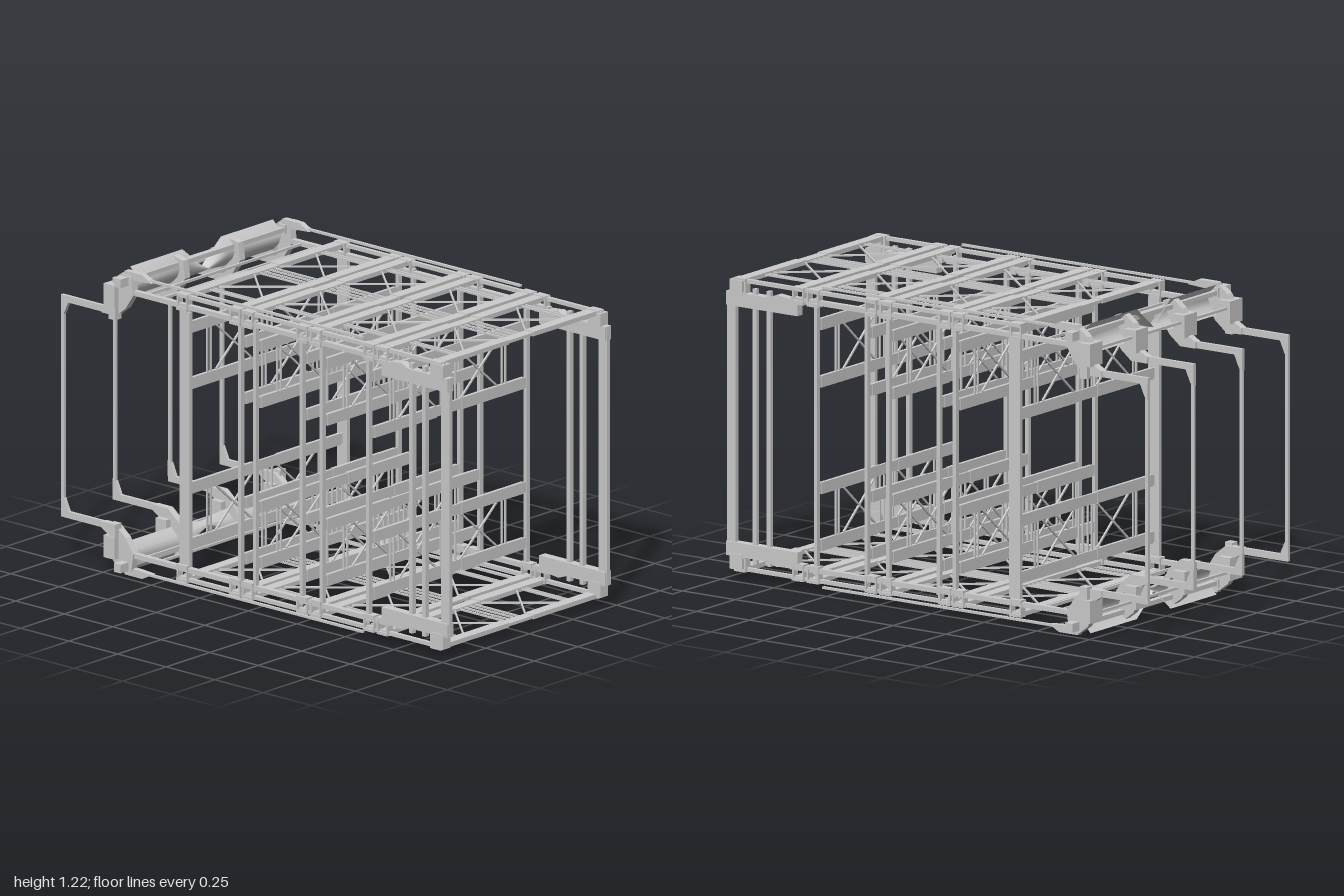
import * as THREE from 'three';

const H = 1.22; // overall height; upper and lower halves mirror about H / 2

export function createModel() {
  const root = new THREE.Group();
  const mat = new THREE.MeshStandardMaterial({ color: 0xcccccc, flatShading: true });
  const shellMat = new THREE.MeshStandardMaterial({ color: 0xcccccc, side: THREE.DoubleSide });

  const add = (parent, name, geo, m = mat) => {
    const mesh = new THREE.Mesh(geo, m);
    mesh.name = name;
    parent.add(mesh);
    return mesh;
  };
  const box = (p, name, x0, x1, y0, y1, z0, z1) =>
    add(p, name, new THREE.BoxGeometry(Math.abs(x1 - x0), Math.abs(y1 - y0), Math.abs(z1 - z0)))
      .position.set((x0 + x1) / 2, (y0 + y1) / 2, (z0 + z1) / 2);
  // square bar between two points
  const rod = (p, name, a, b, t) => {
    const A = new THREE.Vector3(...a), B = new THREE.Vector3(...b);
    const mesh = add(p, name, new THREE.BoxGeometry(t, t, A.distanceTo(B)));
    mesh.position.copy(A).add(B).multiplyScalar(0.5);
    mesh.lookAt(B);
  };
  // flat plate from a [z, y] outline, centred on x
  const plate = (p, name, pts, x, t) => {
    const shape = new THREE.Shape(pts.map(([z, y]) => new THREE.Vector2(-z, y)));
    const geo = new THREE.ExtrudeGeometry(shape, { depth: t, bevelEnabled: false });
    geo.translate(0, 0, -t / 2).rotateY(Math.PI / 2).translate(x, 0, 0);
    add(p, name, geo);
  };
  // braced panel: two rails across x, with crosses and rods between them (u0 to u1)
  const panel = (p, name, u0, u1, at) => {
    const g = new THREE.Group();
    g.name = name;
    p.add(g);
    const w = 0.023, lo = u0 + w, hi = u1 - w;
    for (const u of [u0, u1]) {
      const bar = (x0, x1, hw, t) => {
        const [a, b] = [at(x0, u - hw, -t), at(x1, u + hw, t)];
        box(g, 'rail', a[0], b[0], a[1], b[1], a[2], b[2]);
      };
      bar(-0.445, 0.445, w - 0.002, 0.006);
      for (const s of [-1, 1]) bar(s * 0.07, s * 0.43, w, 0.009);
    }
    for (const s of [-1, 1]) {
      rod(g, 'brace', at(s * 0.28, lo, 0), at(s * 0.075, hi, 0), 0.007);
      rod(g, 'brace', at(s * 0.28, hi, 0), at(s * 0.075, lo, 0), 0.007);
      for (const x of [0.015, 0.042, 0.31, 0.33])
        rod(g, 'stringer', at(s * x, lo, 0), at(s * x, hi, 0), 0.007);
    }
  };

  const bays = [[0.66, 0.935], [0.315, 0.59], [-0.035, 0.245], [-0.373, -0.1]];
  const hoopX = [-0.455, -0.158, 0.158, 0.455];

  for (const top of [true, false]) {
    const half = new THREE.Group();
    half.name = top ? 'upperFrame' : 'lowerFrame';
    root.add(half);
    const Y = y => (top ? y : H - y);
    const hbox = (n, x0, x1, y0, y1, z0, z1) => box(half, n, x0, x1, Y(y0), Y(y1), z0, z1);
    const hplate = (n, pts, x, t) => plate(half, n, pts.map(([z, y]) => [z, Y(y)]), x, t);

    // horizontal roof and floor panels
    for (const [a, b] of bays)
      panel(half, 'deckPanel', a, b, (x, u, t) => [x, Y(1.178 + t), u]);

    for (const s of [-1, 1]) {
      const x = s * 0.452;
      // long side rails
      hbox('outerRail', x - 0.008, x + 0.008, 1.17, 1.185, -0.4, 0.97);
      hbox('innerRail', x - 0.011, x + 0.011, 1.128, 1.147, -0.65, 0.7);
      hbox('topRail', x - 0.006, x + 0.006, 1.196, 1.205, -0.58, 0.55);
      // clips joining the rails at each deck bar
      for (const z of bays.flat()) {
        hbox('railClip', x - 0.017, x + 0.017, 1.12, 1.135, z - 0.027, z + 0.027);
        hbox('railClip', x - 0.017, x + 0.017, 1.176, 1.188, z - 0.027, z + 0.027);
        for (const e of [-0.024, 0.024])
          hbox('railClip', x - 0.015, x + 0.015, 1.12, 1.188, z + e - 0.004, z + e + 0.004);
      }
      // stepped plates on the front corners
      hplate('cornerPlate', [[1, 1.075], [0.66, 1.075], [0.66, 1.135], [0.76, 1.145],
        [0.8, 1.13], [1, 1.13]], x, 0.035);
      hbox('cornerBlock', x - 0.022, x + 0.022, 1.12, 1.18, 0.92, 0.98);
      // tongue leading onto the rear bracket
      hplate('railTongue', [[-0.53, 1.195], [-0.58, 1.22], [-0.67, 1.22], [-0.68, 1.19],
        [-0.6, 1.19]], x, 0.025);
      hbox('sideBracket', s * 0.455, s * 0.49, 1.02, 1.16, -0.73, -0.695);
      hbox('barEnd', s * 0.43, s * 0.515, 1.165, 1.2, -0.68, -0.645);

      // curved rear shield, notched toward the middle
      const prof = [[0, -0.69], [0.25, -0.66], [0.5, -0.648], [0.75, -0.66], [1, -0.69]];
      const pos = [], idx = [];
      const cols = [[0.41, 1.1, 1.22], [0.11, 1.1, 1.22], [0, 1.115, 1.13]];
      cols.forEach(([cx, lo, hi], i) => prof.forEach(([t, z], j) => {
        pos.push(s * cx, Y(lo + t * (hi - lo)), z);
        if (i && j) {
          const a = i * 5 + j;
          idx.push(a, a - 1, a - 6, a, a - 6, a - 5);
        }
      }));
      const geo = new THREE.BufferGeometry();
      geo.setAttribute('position', new THREE.Float32BufferAttribute(pos, 3));
      geo.setIndex(idx);
      geo.computeVertexNormals();
      add(half, 'rearShield', geo, shellMat);
    }

    // cross rods at the rear
    for (const [z, y] of [[-0.5, 1.137], [-0.575, 1.137], [-0.73, 1.13]])
      rod(half, 'crossRod', [-0.46, Y(y), z], [0.46, Y(y), z], 0.01);
    hbox('rearCrossBar', -0.48, 0.48, 1.172, 1.19, -0.677, -0.65);

    // hook brackets and the arms of the rear hoops
    for (const x of hoopX) {
      hplate('hookBracket', [[-0.62, 1.13], [-0.63, 1.2], [-0.68, 1.21], [-0.72, 1.18],
        [-0.745, 1.13], [-0.75, 1.075], [-0.785, 1.055], [-0.785, 1.03], [-0.71, 1.03],
        [-0.66, 1.07]], x, 0.03);
      hbox('bracketBlock', x - 0.04, x + 0.04, 1.07, 1.16, -0.75, -0.695);
      hbox('hoopArm', x - 0.007, x + 0.007, 1.03, 1.056, -1, -0.76);
      hplate('hoopGusset', [[-0.96, 1.035], [-1, 1.035], [-1, 0.97], [-0.985, 0.98]], x, 0.016);
    }
  }

  // upright part of each rear hoop
  for (const x of hoopX)
    box(root, 'hoopUpright', x - 0.006, x + 0.006, H - 1.056, 1.056, -1, -0.986);

  // side posts: [z centre, width]
  const posts = [[0.98, 0.042], [0.87, 0.018], [0.803, 0.018], [0.58, 0.016], [0.34, 0.016],
    [0.237, 0.016], [-0.003, 0.016], [-0.08, 0.016], [-0.365, 0.052]];
  for (const [z, w] of posts)
    for (const s of [-1, 1])
      box(root, 'sidePost', s * 0.443, s * 0.461, 0.05 + w, H - 0.05 - w, z - w / 2, z + w / 2);

  // upright braced panels across the frame
  for (const [z] of posts.slice(3))
    for (const [a, b] of [[0.822, 1.048], [0.178, 0.402]])
      panel(root, 'wallPanel', a, b, (x, u, t) => [x, u, z + t * 0.8]);

  return root;
}
